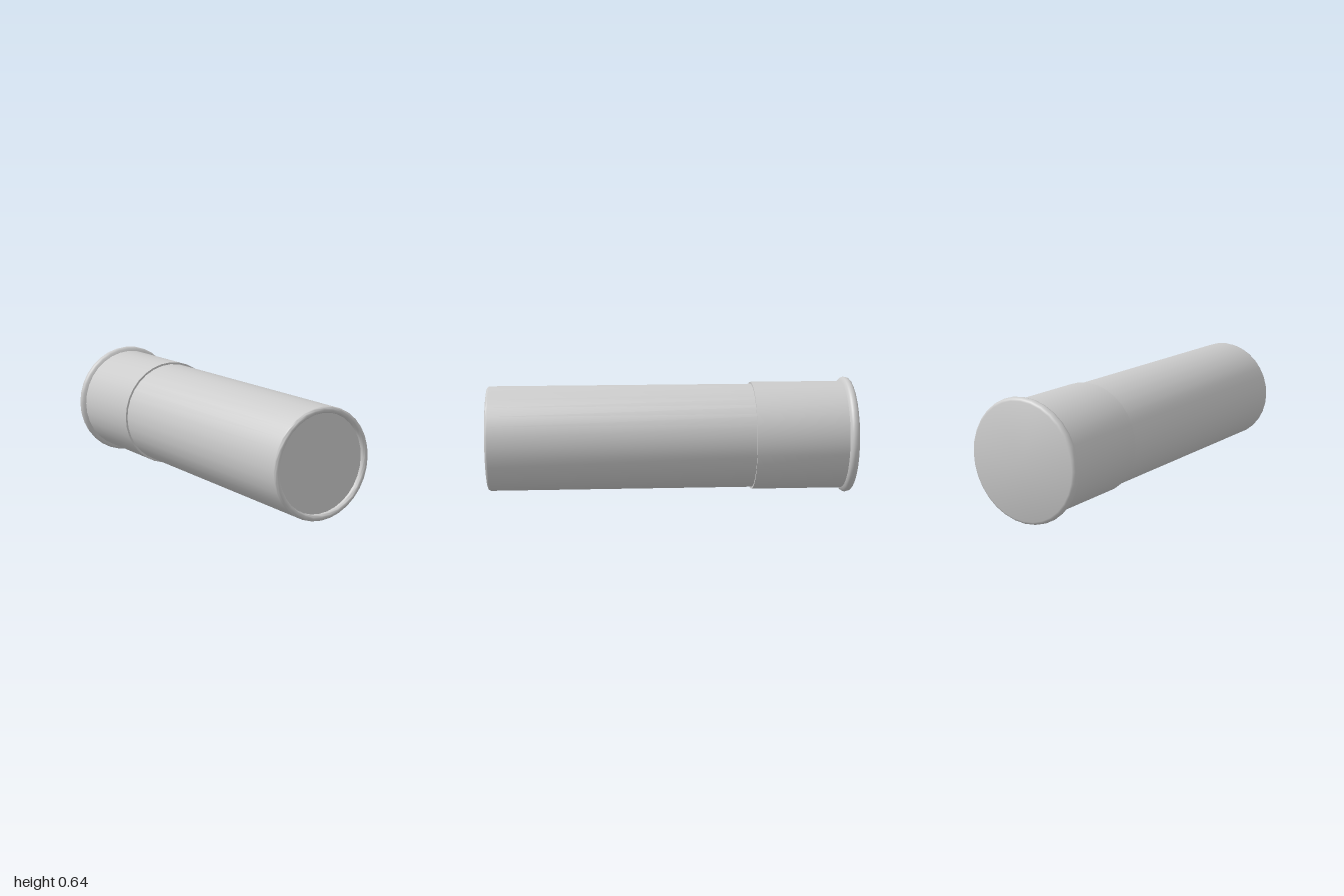
import * as THREE from 'three';
import { toCreasedNormals } from 'three/addons/utils/BufferGeometryUtils.js';

const AXIS_Y = 0.322;

// Turned part around the z axis; profile is [radius, z] pairs running from back to front.
function turned(name, profile) {
  const points = profile.map(([r, z]) => new THREE.Vector2(r, z));
  const geometry = new THREE.LatheGeometry(points, 32);
  geometry.rotateX(Math.PI / 2);
  const material = new THREE.MeshStandardMaterial({ color: 0xcccccc });
  const mesh = new THREE.Mesh(toCreasedNormals(geometry, 0.9), material);
  mesh.name = name;
  mesh.position.y = AXIS_Y;
  return mesh;
}

export function createModel() {
  const group = new THREE.Group();
  group.name = 'cartridge';

  // Long tube with a rolled lip at the front
  const lip = [];
  for (let i = 0; i <= 8; i++) {
    const a = (i / 8) * Math.PI;
    lip.push([0.271 + 0.016 * Math.cos(a), 0.986 + 0.014 * Math.sin(a)]);
  }
  group.add(turned('tube', [[0.287, -0.95], ...lip, [0.255, 0.96]]));

  // Closing disc set just inside the lip
  group.add(turned('frontDisc', [[0.262, 0.975], [0, 0.975]]));

  // Wider cup at the back, with a rounded rim and a flat base
  group.add(turned('baseCup', [
    [0, -1], [0.304, -1], [0.313, -0.996], [0.319, -0.987], [0.322, -0.975],
    [0.319, -0.964], [0.311, -0.956], [0.298, -0.95],
    [0.298, -0.45], [0.28, -0.45],
  ]));

  return group;
}
